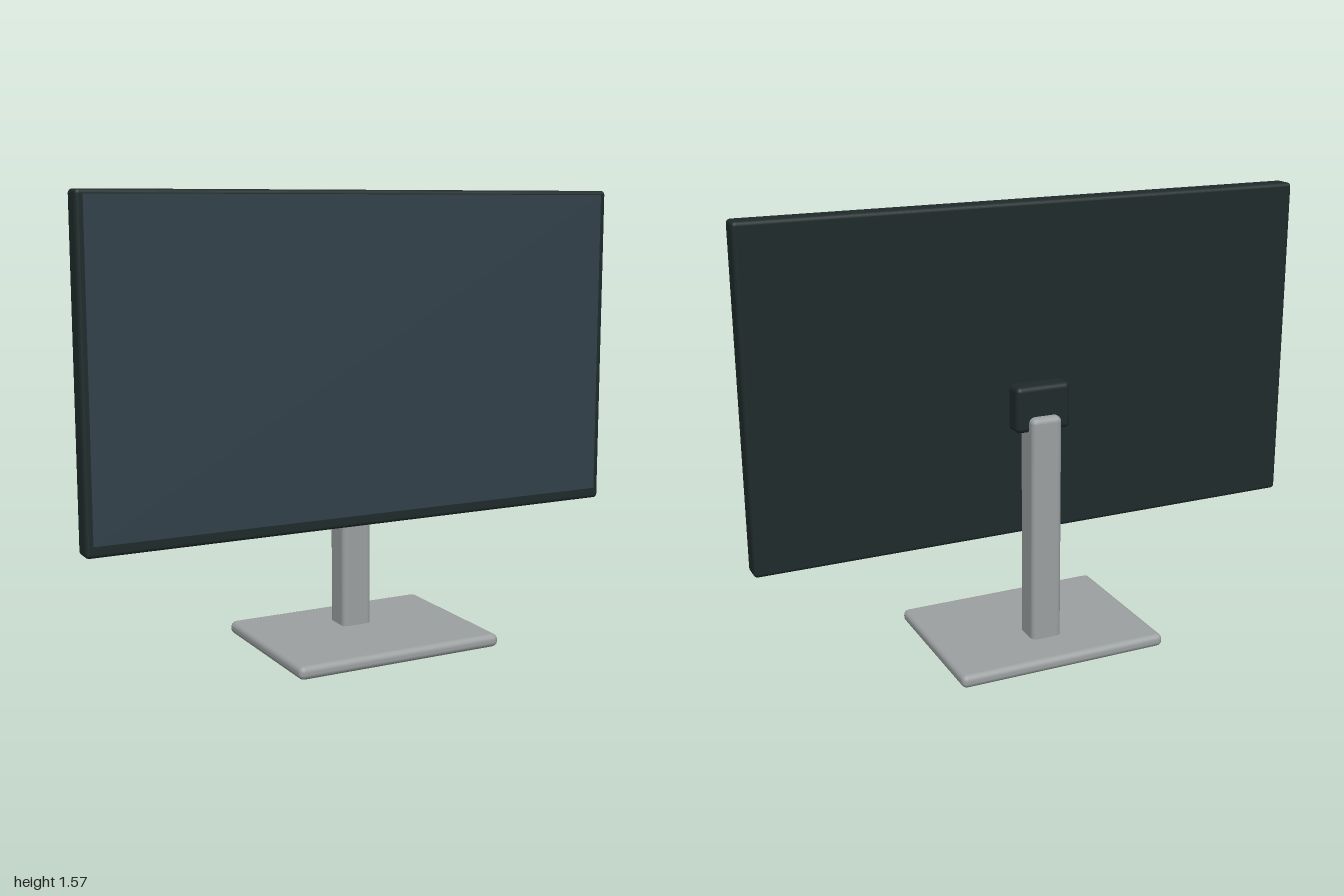
import * as THREE from 'three';
import { RoundedBoxGeometry } from 'three/addons/geometries/RoundedBoxGeometry.js';

function material(name, color) {
  const m = new THREE.MeshStandardMaterial({ color });
  m.name = name;
  return m;
}

// Rounded block given by its extents on each axis
function block(name, mat, [x0, x1], [y0, y1], [z0, z1], radius, segments = 3) {
  const geometry = new RoundedBoxGeometry(x1 - x0, y1 - y0, z1 - z0, segments, radius);
  const mesh = new THREE.Mesh(geometry, mat);
  mesh.name = name;
  mesh.position.set((x0 + x1) / 2, (y0 + y1) / 2, (z0 + z1) / 2);
  return mesh;
}

export function createModel() {
  const casing = material('dark casing', 0x1f2a2a);
  const glass = material('screen glass', 0x31404a);
  const metal = material('grey metal', 0x9ca0a0);

  const model = new THREE.Group();
  model.name = 'monitor';

  // Display: casing with a thin screen plate standing just proud of it
  const display = new THREE.Group();
  display.name = 'display';
  display.add(block('casing', casing, [-1, 1], [0.42, 1.572], [-0.048, 0.032], 0.014));
  const screen = new THREE.Mesh(new THREE.BoxGeometry(1.95, 1.097, 0.006), glass);
  screen.name = 'screen';
  screen.position.set(0, 1.0085, 0.0325);
  display.add(screen);
  // Bracket joining the display to the stand
  display.add(block('mountBracket', casing, [-0.1, 0.1], [0.802, 0.963], [-0.111, -0.03], 0.018));

  // Stand: upright column on a flat foot
  const stand = new THREE.Group();
  stand.name = 'stand';
  stand.add(block('column', metal, [-0.056, 0.056], [0.01, 0.857], [-0.142, -0.034], 0.02));
  stand.add(block('foot', metal, [-0.383, 0.383], [0, 0.046], [-0.295, 0.295], 0.02));

  model.add(display, stand);
  return model;
}
